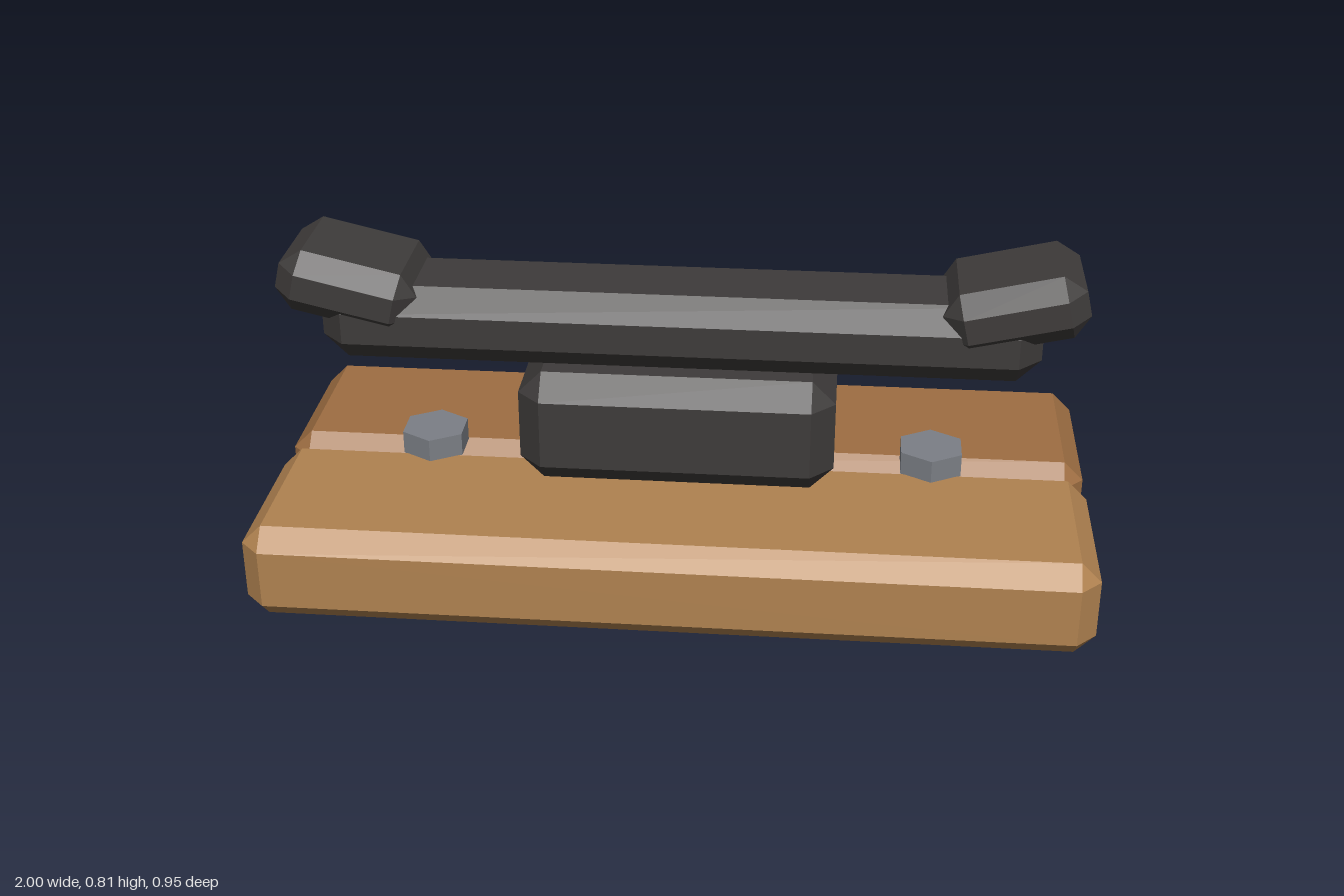
import * as THREE from 'three';
import { ConvexGeometry } from 'three/addons/geometries/ConvexGeometry.js';

// Box with every edge bevelled flat by c and every corner cut to a triangle
function bevelBox(w, h, d, c) {
  const half = [w / 2, h / 2, d / 2];
  const points = [];
  for (const sx of [-1, 1]) for (const sy of [-1, 1]) for (const sz of [-1, 1]) {
    for (let axis = 0; axis < 3; axis++) {
      const [x, y, z] = half.map((v, i) => (i === axis ? v : v - c));
      points.push(new THREE.Vector3(sx * x, sy * y, sz * z));
    }
  }
  return new ConvexGeometry(points);
}

export function createModel() {
  const model = new THREE.Group();
  const paint = (color) => new THREE.MeshStandardMaterial({ color, flatShading: true });
  const lightWood = paint(0xb08250);
  const darkWood = paint(0x9e6e42);
  const iron = paint(0x3e3b3a);
  const steel = paint(0x7c7f86);

  const add = (name, geometry, material, x, y, z) => {
    const mesh = new THREE.Mesh(geometry, material);
    mesh.name = name;
    mesh.position.set(x, y, z);
    model.add(mesh);
    return mesh;
  };

  // Two planks side by side
  const plank = bevelBox(2, 0.24, 0.477, 0.048);
  add('frontPlank', plank, lightWood, 0, 0.12, 0.2385);
  add('backPlank', plank, darkWood, 0, 0.12, -0.2385);

  // Central block and the crossbar on top of it
  add('centerBlock', bevelBox(0.762, 0.286, 0.381, 0.057), iron, 0, 0.382, 0);
  add('crossbar', bevelBox(1.715, 0.19, 0.286, 0.057), iron, 0, 0.62, 0);

  // Upturned grips and hex bolts, mirrored left and right
  const grip = bevelBox(0.335, 0.157, 0.31, 0.047);
  const bolt = new THREE.CylinderGeometry(0.085, 0.085, 0.058, 6);
  for (const [side, s] of [['left', 1], ['right', -1]]) {
    add(side + 'Grip', grip, iron, s * 0.79, 0.7025, 0).rotation.z = s * 0.23;
    add(side + 'Bolt', bolt, steel, s * 0.618, 0.268, 0);
  }

  return model;
}
